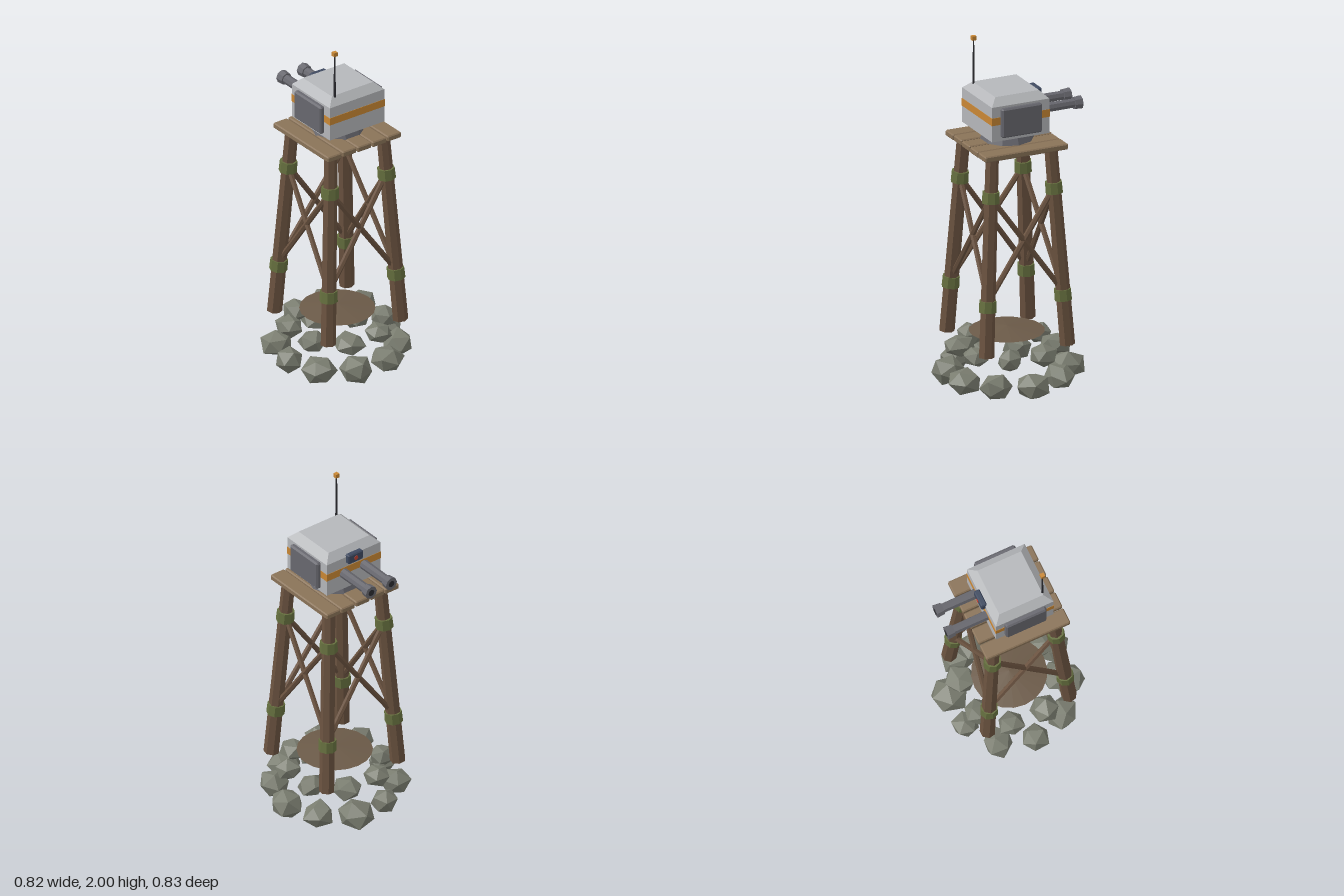
import * as THREE from 'three';
import { ConvexGeometry } from 'three/addons/geometries/ConvexGeometry.js';

const mat = (color) => new THREE.MeshStandardMaterial({ color, flatShading: true });
const wood = mat(0x6b5340), plankWood = mat(0x8a7358), moss = mat(0x66703f), stone = mat(0x7a7d70);
const hull = mat(0xb5b7ba), steel = mat(0x68686f), dark = mat(0x2c2c31);
const orange = mat(0xc98734), navy = mat(0x3f4a60), red = mat(0xc04030), soil = mat(0x6b5a48);
const V = (x, y, z) => new THREE.Vector3(x, y, z);

// Small seeded generator for the rocks
function seeded(s) {
  return () => {
    s = (s * 16807) % 2147483647;
    return s / 2147483647;
  };
}

function add(parent, name, geometry, material, x = 0, y = 0, z = 0) {
  const m = new THREE.Mesh(geometry, material);
  m.name = name;
  m.position.set(x, y, z);
  parent.add(m);
  return m;
}

// Box with chamfered edges
function bevelBox(w, h, d, b) {
  const pts = [];
  for (const i of [-1, 1]) for (const j of [-1, 1]) for (const k of [-1, 1]) {
    const x = i * w / 2, y = j * h / 2, z = k * d / 2;
    pts.push(V(x, y - j * b, z - k * b), V(x - i * b, y, z - k * b), V(x - i * b, y - j * b, z));
  }
  return new ConvexGeometry(pts);
}

// Straight round member between two points
function beam(parent, name, a, b, rA, rB, sides, material) {
  const m = add(parent, name, new THREE.CylinderGeometry(rB, rA, a.distanceTo(b), sides), material);
  m.position.copy(a).lerp(b, 0.5);
  m.quaternion.setFromUnitVectors(V(0, 1, 0), b.clone().sub(a).normalize());
  return m;
}

// Uneven low-poly boulder
function rockGeometry(r, ry, rand) {
  const g = new THREE.IcosahedronGeometry(1, 0);
  g.rotateY(rand() * 6.28).rotateX(rand() * 0.8).rotateZ(rand() * 0.8);
  const p = g.attributes.position, v = V(0, 0, 0), seen = {};
  for (let i = 0; i < p.count; i++) {
    v.fromBufferAttribute(p, i);
    const key = [v.x, v.y, v.z].map((n) => Math.round(n * 50)).join();
    seen[key] ??= 0.88 + rand() * 0.26;
    v.multiplyScalar(seen[key]);
    p.setXYZ(i, v.x * r, v.y * ry, v.z * r);
  }
  g.computeVertexNormals();
  return g;
}

function buildBase(root) {
  const rand = seeded(4711);
  const rocks = new THREE.Group();
  rocks.name = 'rocks';
  root.add(rocks);
  // Outer lower ring, then inner upper ring
  const sizes = [0.097, 0.092, 0.098, 0.098, 0.092, 0.082, 0.092, 0.075, 0.108, 0.09];
  sizes.forEach((r, k) => {
    const a = k * Math.PI / 5;
    add(rocks, 'lowerRock', rockGeometry(r, 0.075, rand), stone, 0.33 * Math.cos(a), 0.083, 0.33 * Math.sin(a));
  });
  for (let k = 0; k < 8; k++) {
    const a = (k + 0.5) * Math.PI / 4;
    add(rocks, 'upperRock', rockGeometry(0.075 + rand() * 0.015, 0.06, rand), stone,
      0.265 * Math.cos(a), 0.217, 0.265 * Math.sin(a));
  }
  add(root, 'dirtMound', new THREE.ConeGeometry(0.21, 0.025, 20), soil, 0, 0.315, 0);
}

function buildTower(root) {
  const yBottom = 0.26, yTop = 1.4;
  const spread = (y) => 0.247 - 0.06 * (y - yBottom);
  const at = (sx, sz, y) => V(sx * spread(y), y, sz * spread(y));

  // Splayed legs with mossy bindings
  for (const sx of [-1, 1]) for (const sz of [-1, 1]) {
    beam(root, 'leg', at(sx, sz, yBottom), at(sx, sz, yTop), 0.044, 0.038, 7, wood);
    for (const y of [0.55, 1.168]) {
      beam(root, 'legBand', at(sx, sz, y - 0.032), at(sx, sz, y + 0.032), 0.051, 0.049, 8, moss);
    }
  }

  // Crossed braces on all four sides
  for (let k = 0; k < 4; k++) {
    const side = new THREE.Group();
    side.name = 'crossBrace';
    side.rotation.y = k * Math.PI / 2;
    root.add(side);
    for (const s of [-1, 1]) {
      beam(side, 'brace', at(s, 1, 0.57), at(-s, 1, 1.165), 0.016, 0.016, 6, wood);
    }
  }

  // Plank deck
  for (let i = -2; i <= 2; i++) {
    add(root, 'plank', bevelBox(0.094, 0.034, 0.508, 0.006), plankWood, i * 0.102, 1.411 - (i % 2) * 0.002, 0);
  }
}

function buildTurret(root) {
  const turret = new THREE.Group();
  turret.name = 'turret';
  root.add(turret);
  const pedestal = add(turret, 'pedestal', new THREE.CylinderGeometry(0.125, 0.15, 0.06, 10), steel, 0, 1.456, 0);
  pedestal.rotation.y = Math.PI / 10;

  // Housing with sloped roof edges
  const pts = [];
  for (const i of [-1, 1]) for (const k of [-1, 1]) {
    pts.push(V(i * 0.186, 1.484, k * 0.175), V(i * 0.186, 1.685, k * 0.175), V(i * 0.141, 1.727, k * 0.133));
  }
  add(turret, 'housing', new ConvexGeometry(pts), hull, 0, 0, 0.007);
  add(turret, 'stripe', new THREE.BoxGeometry(0.376, 0.044, 0.354), orange, 0, 1.601, 0.007);

  for (const s of [-1, 1]) {
    // Side armour
    add(turret, 'sidePanel', bevelBox(0.034, 0.17, 0.247, 0.009), steel, s * 0.196, 1.59, 0.008);

    // Twin guns pointing back
    const gun = (name, z0, z1, r0, r1, m) =>
      beam(turret, name, V(s * 0.07, 1.588, z0), V(s * 0.07, 1.588, z1), r0, r1, 8, m);
    gun('barrel', -0.14, -0.39, 0.029, 0.027, steel);
    gun('muzzle', -0.372, -0.416, 0.035, 0.039, steel);
    gun('bore', -0.4, -0.4175, 0.02, 0.02, dark);
  }

  // Sight with a red lens
  add(turret, 'sight', bevelBox(0.102, 0.058, 0.034, 0.006), navy, 0, 1.672, -0.174);
  beam(turret, 'lens', V(0, 1.672, -0.18), V(0, 1.672, -0.194), 0.013, 0.013, 8, red);

  // Aerial
  beam(turret, 'antenna', V(-0.124, 1.7, 0.143), V(-0.124, 1.98, 0.143), 0.007, 0.004, 6, dark);
  add(turret, 'antennaTip', new THREE.BoxGeometry(0.024, 0.024, 0.024), orange, -0.124, 1.988, 0.143);
}

export function createModel() {
  const model = new THREE.Group();
  model.name = 'turretTower';
  const root = new THREE.Group();
  root.name = 'tower';
  root.position.set(-0.006, 0, 0.004);
  model.add(root);
  buildBase(root);
  buildTower(root);
  buildTurret(root);
  return model;
}
